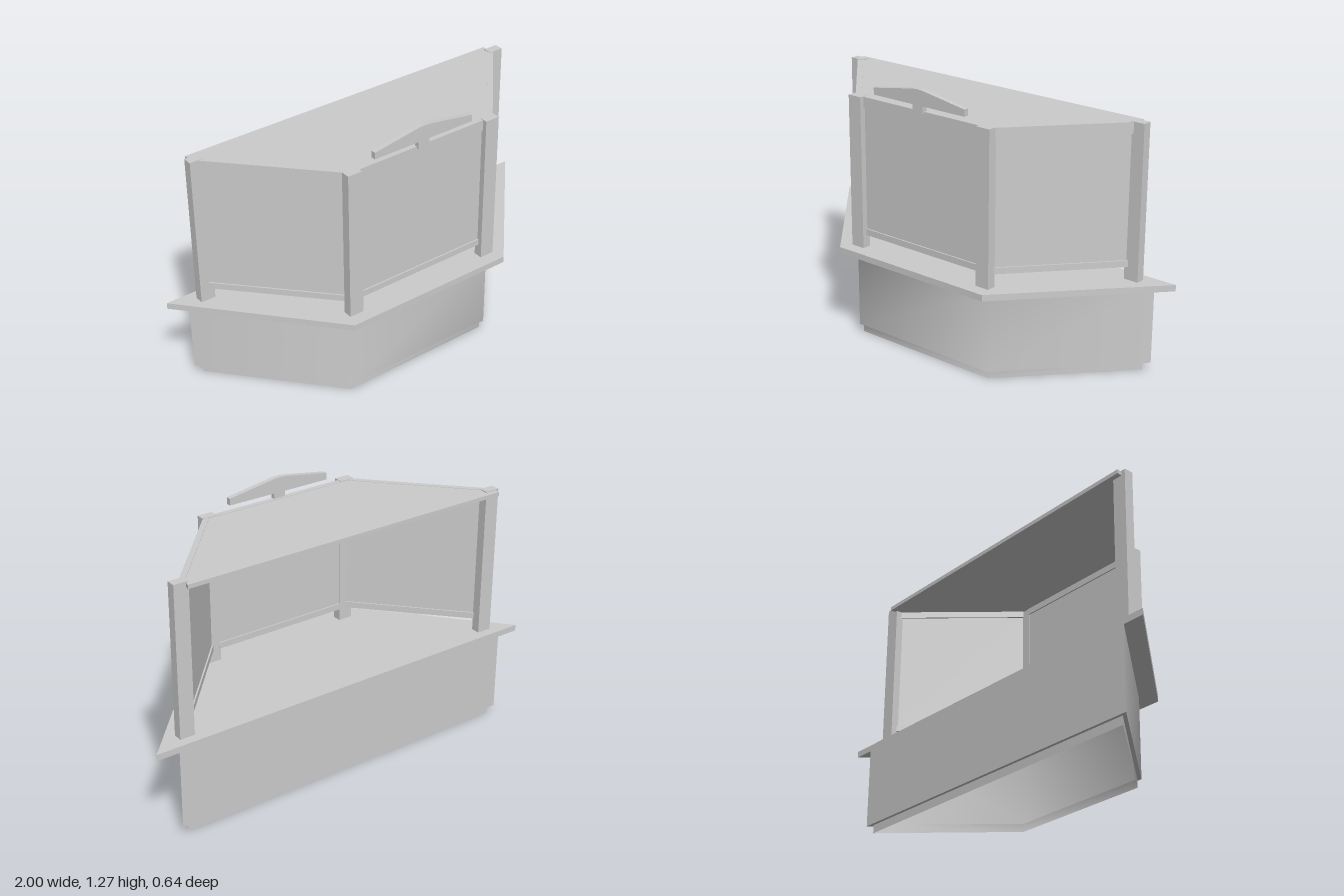
import * as THREE from 'three';

const grey = new THREE.MeshStandardMaterial({ color: 0xcccccc });
const thin = new THREE.MeshStandardMaterial({ color: 0xcccccc, side: THREE.DoubleSide });

// Plan outlines as [x, z], running back left, front left, front right, back right
const trapezoid = (front, zFront, back, zBack) =>
  [[-back, zBack], [-front, zFront], [front, zFront], [back, zBack]];
const COUNTER = trapezoid(0.43, 0.32, 1, -0.32);
const BODY = trapezoid(0.396, 0.235, 0.89, -0.32);
const PLINTH = trapezoid(0.385, 0.22, 0.855, -0.305);

const toShape = pts => new THREE.Shape(pts.map(([x, z]) => new THREE.Vector2(x, -z)));

export function createModel() {
  const model = new THREE.Group();
  const add = (name, geometry, material = grey) => {
    const mesh = new THREE.Mesh(geometry, material);
    mesh.name = name;
    model.add(mesh);
    return mesh;
  };

  // Horizontal slab from a plan outline
  const slab = (name, pts, y0, y1) => {
    const g = new THREE.ExtrudeGeometry(toShape(pts), { depth: y1 - y0, bevelEnabled: false });
    g.rotateX(-Math.PI / 2).translate(0, y0, 0);
    return add(name, g);
  };

  // Open vertical walls along a plan path, with normals smoothed round the corners
  const walls = (name, path, y0, y1) => {
    const positions = path.flatMap(([x, z]) => [x, y0, z, x, y1, z]);
    const index = [];
    for (let i = 0; i < path.length - 1; i++) {
      const a = i * 2;
      index.push(a, a + 2, a + 3, a, a + 3, a + 1);
    }
    const g = new THREE.BufferGeometry();
    g.setAttribute('position', new THREE.Float32BufferAttribute(positions, 3));
    g.setIndex(index);
    g.computeVertexNormals();
    return add(name, g, thin);
  };

  // Box standing between two plan points
  const bar = (name, [x0, z0], [x1, z1], y0, y1, depth) => {
    const g = new THREE.BoxGeometry(Math.hypot(x1 - x0, z1 - z0), y1 - y0, depth);
    const mesh = add(name, g);
    mesh.position.set((x0 + x1) / 2, (y0 + y1) / 2, (z0 + z1) / 2);
    mesh.rotation.y = -Math.atan2(z1 - z0, x1 - x0);
    return mesh;
  };

  // Hollow base and recessed plinth, both open underneath
  for (const [name, pts, y0, y1] of [['base', BODY, 0.04, 0.42], ['plinth', PLINTH, 0, 0.04]]) {
    walls(name + 'Front', pts, y0, y1);
    walls(name + 'Back', [pts[3], pts[0]], y0, y1);
  }
  const step = toShape(BODY);
  step.holes.push(toShape(PLINTH));
  add('plinthStep', new THREE.ShapeGeometry(step).rotateX(Math.PI / -2).translate(0, 0.04, 0), thin);

  // Counter top
  slab('counterTop', COUNTER, 0.42, 0.45);

  // Four posts
  const posts = [
    ['rightRearPost', -0.837, -0.253], ['rightFrontPost', -0.373, 0.237],
    ['leftFrontPost', 0.378, 0.237], ['leftRearPost', 0.822, -0.253],
  ];
  for (const [name, x, z] of posts) {
    add(name, new THREE.BoxGeometry(0.072, 0.727, 0.044)).position.set(x, 0.8125, z);
  }

  // Screens: a thin sheet with a rail along the top and bottom
  const screens = [
    ['right', [-0.822, -0.24], [-0.385, 0.22]],
    ['front', [-0.345, 0.225], [0.35, 0.225]],
    ['left', [0.395, 0.22], [0.795, -0.24]],
  ];
  for (const [name, a, b] of screens) {
    bar(name + 'Screen', a, b, 0.53, 1.13, 0.012);
    bar(name + 'BottomRail', a, b, 0.51, 0.54, 0.026);
    bar(name + 'TopRail', a, b, 1.122, 1.174, 0.026);
  }

  // Thin roof sheet, overhanging at the back
  slab('roof', [[-0.855, -0.3], [-0.85, -0.255], [-0.395, 0.22],
    [0.395, 0.22], [0.795, -0.255], [0.805, -0.3]], 1.153, 1.172);

  // Peaked blank sign board on a short stem
  const sign = new THREE.Shape([
    [-0.03, 1.165], [0.03, 1.165], [0.03, 1.2], [0.267, 1.2], [0.267, 1.232], [0.03, 1.27],
    [0, 1.272], [-0.03, 1.27], [-0.262, 1.232], [-0.262, 1.2], [-0.03, 1.2],
  ].map(([x, y]) => new THREE.Vector2(x, y)));
  add('signBoard', new THREE.ExtrudeGeometry(sign, { depth: 0.024, bevelEnabled: false })
    .translate(0, 0, 0.224));

  return model;
}
